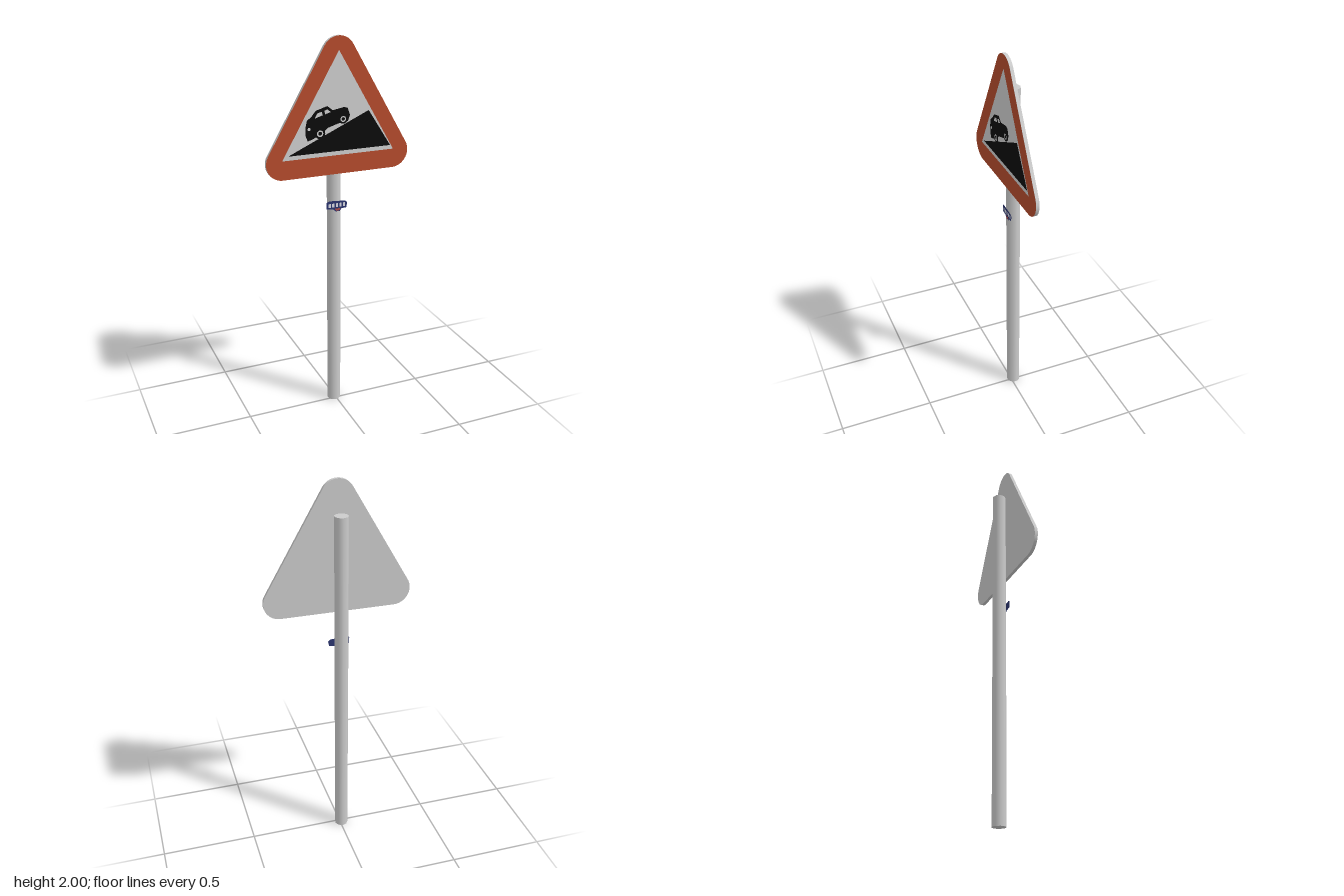
import * as THREE from 'three';

const mat = (name, color, side = THREE.FrontSide) => {
  const m = new THREE.MeshStandardMaterial({ color, side });
  m.name = name;
  return m;
};

export function createModel() {
  const steel = mat('steel grey', 0xcccccc);
  const red = mat('border red', 0xb74c2d);
  const panelGrey = mat('panel light grey', 0xd0d0d0);
  const black = mat('symbol black', 0x0c0c0c);
  const blue = mat('sticker blue', 0x2b3570, THREE.DoubleSide);
  const white = mat('sticker white', 0xd8dae4);
  const stickerRed = mat('sticker red', 0xb04a48);

  const model = new THREE.Group();
  model.name = 'hillWarningSign';
  const add = (parent, name, geometry, material, x = 0, y = 0, z = 0) => {
    const mesh = new THREE.Mesh(geometry, material);
    mesh.name = name;
    mesh.position.set(x, y, z);
    parent.add(mesh);
    return mesh;
  };
  const polygon = (pts) => new THREE.Shape(pts.map(([x, y]) => new THREE.Vector2(x, y)));
  const flat = (shape) => new THREE.ShapeGeometry(shape, 12);

  // Nine-sided post, with one flat side against the plate
  const post = new THREE.CylinderGeometry(0.036, 0.036, 1.83, 9);
  post.rotateY(Math.PI);
  add(model, 'post', post, steel, -0.007, 0.915, -0.014);

  // Rounded triangle: an arc around each corner centre
  const plateShape = () => {
    const s = new THREE.Shape();
    const r = 0.085, d = Math.PI / 180;
    s.absarc(0.295, 1.405, r, -90 * d, 30 * d);
    s.absarc(0, 1.915, r, 30 * d, 150 * d);
    s.absarc(-0.295, 1.405, r, 150 * d, 270 * d);
    s.closePath();
    return s;
  };
  const sign = new THREE.Group();
  sign.name = 'sign';
  model.add(sign);
  const plate = new THREE.ExtrudeGeometry(plateShape(), { depth: 0.017, bevelEnabled: false, curveSegments: 12 });
  add(sign, 'plate', plate, steel, 0, 0, 0.02);

  // Red border with a triangular opening, and the panel inside it
  const inner = [[-0.298, 1.417], [0.298, 1.417], [0, 1.932]];
  const border = plateShape();
  border.holes.push(polygon(inner));
  add(sign, 'border', flat(border), red, 0, 0, 0.0378);
  add(sign, 'panel', flat(polygon(inner)), panelGrey, 0, 0, 0.0378);

  // Steep hill
  add(sign, 'hill', flat(polygon([[-0.267, 1.438], [0.281, 1.438], [0.159, 1.629]])), black, 0, 0, 0.0384);

  // Car climbing the hill, with window openings
  const car = new THREE.Group();
  car.name = 'car';
  sign.add(car);
  const body = polygon([
    [-0.175, 1.53], [-0.176, 1.57], [-0.168, 1.605], [-0.145, 1.622], [-0.122, 1.65],
    [-0.062, 1.668], [-0.033, 1.645], [0.028, 1.656], [0.046, 1.65], [0.058, 1.615],
    [0.048, 1.585], [0.0, 1.578], [-0.06, 1.56], [-0.09, 1.535], [-0.14, 1.51], [-0.165, 1.503],
  ]);
  body.holes.push(
    polygon([[-0.128, 1.612], [-0.085, 1.625], [-0.09, 1.642], [-0.112, 1.638]]),
    polygon([[-0.074, 1.628], [-0.044, 1.637], [-0.06, 1.652], [-0.076, 1.646]]),
  );
  add(car, 'carBody', flat(body), black, 0, 0, 0.0384);
  for (const [x, y, r] of [[-0.1, 1.535, 0.027], [0.022, 1.597, 0.024]]) {
    add(car, 'wheel', new THREE.CircleGeometry(r, 20), black, x, y, 0.0388);
    add(car, 'wheelRim', new THREE.RingGeometry(r * 0.36, r * 0.62, 20), panelGrey, x, y, 0.0392);
  }
  add(car, 'headlight', new THREE.CircleGeometry(0.008, 12), panelGrey, -0.157, 1.562, 0.0388);

  // Small sticker across the post, with plain pale patches
  const sticker = new THREE.Group();
  sticker.name = 'sticker';
  model.add(sticker);
  const backing = polygon([
    [-0.06, 1.132], [-0.025, 1.128], [-0.01, 1.115], [0.012, 1.115], [0.022, 1.128],
    [0.048, 1.13], [0.053, 1.158], [0.04, 1.168], [-0.045, 1.174], [-0.06, 1.168],
  ]);
  add(sticker, 'stickerBacking', flat(backing), blue, 0, 0, 0.0215);
  for (let i = 0; i < 5; i++) {
    add(sticker, 'palePatch', new THREE.PlaneGeometry(0.012, 0.02), white, -0.044 + i * 0.02, 1.149, 0.0222);
  }
  add(sticker, 'redPatch', flat(polygon([[-0.016, 1.131], [-0.006, 1.118], [0.008, 1.118], [0.017, 1.131]])), stickerRed, 0, 0, 0.0222);

  return model;
}
